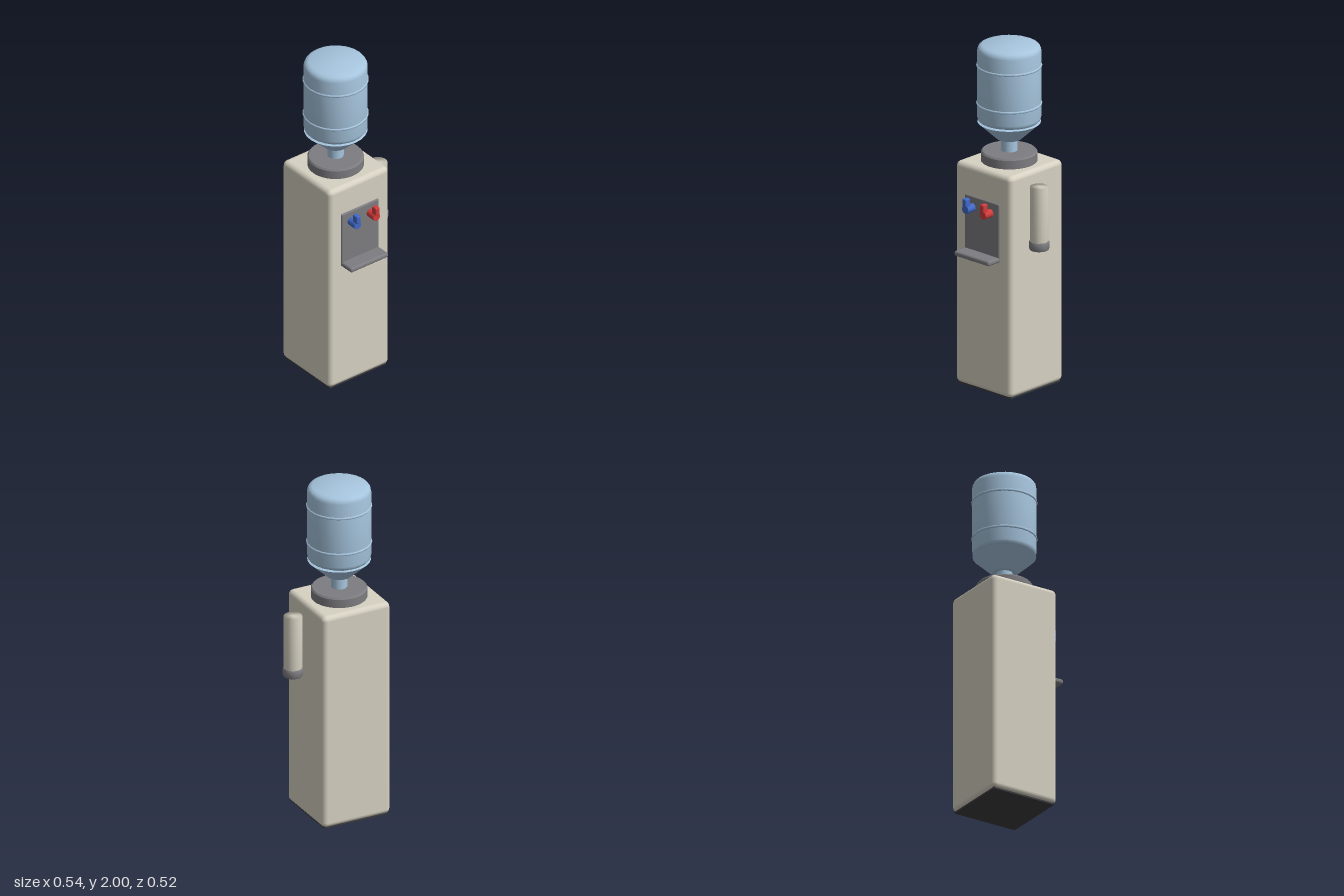
import * as THREE from 'three';
import { mergeVertices, toCreasedNormals } from 'three/addons/utils/BufferGeometryUtils.js';
import { RoundedBoxGeometry } from 'three/addons/geometries/RoundedBoxGeometry.js';

const mat = (name, color, side = THREE.FrontSide) => {
  const m = new THREE.MeshStandardMaterial({ color, side });
  m.name = name;
  return m;
};

export function createModel() {
  const model = new THREE.Group();
  model.name = 'waterCooler';

  const cream = mat('cream', 0xd6d1c2);
  const grey = mat('grey', 0x7d7c80);
  const dark = mat('darkGrey', 0x3c3c3e);
  const water = mat('bottleBlue', 0xa6c5de, THREE.DoubleSide);
  const blue = mat('coldBlue', 0x4169c8);
  const red = mat('hotRed', 0xd23c3c);

  const add = (name, geo, material, x, y, z, parent = model) => {
    const m = new THREE.Mesh(geo, material);
    m.name = name;
    m.position.set(x, y, z);
    parent.add(m);
    return m;
  };
  const rbox = (w, h, d, r) => new RoundedBoxGeometry(w, h, d, 3, r);
  const lathe = (pts, n) =>
    toCreasedNormals(new THREE.LatheGeometry(pts.map(p => new THREE.Vector2(...p)), n), 0.7);

  const CX = -0.057, CZ = -0.048;

  // Cabinet and its dark underside
  add('cabinet', rbox(0.428, 1.31, 0.428, 0.03), cream, CX, 0.66, CZ);
  add('base', new THREE.BoxGeometry(0.4, 0.02, 0.4), dark, CX, 0.01, CZ);

  // Collar that holds the bottle
  add('collar', lathe([[0, 1.3], [0.158, 1.3], [0.158, 1.365], [0.15, 1.374], [0, 1.374]], 32),
    grey, CX, 0, CZ);

  // Bottle: neck, shoulder cone, drum and raised ribs
  const bottle = new THREE.Group();
  bottle.name = 'bottle';
  bottle.position.set(CX, 0, CZ);
  model.add(bottle);
  add('neck', new THREE.CylinderGeometry(0.046, 0.046, 0.1, 20, 1, true), water, 0, 1.415, 0, bottle);
  add('shoulder', lathe([[0.04, 1.445], [0.07, 1.445], [0.178, 1.545], [0.165, 1.549]], 24),
    water, 0, 0, 0, bottle);
  add('drum', lathe([
    [0, 1.549], [0.155, 1.549], [0.168, 1.553], [0.176, 1.562], [0.179, 1.575],
    [0.179, 1.965], [0.176, 1.98], [0.167, 1.992], [0.15, 2], [0, 2],
  ], 24), water, 0, 0, 0, bottle);
  for (const y of [1.655, 1.878]) {
    const rib = add('rib', new THREE.TorusGeometry(0.177, 0.008, 8, 24), water, 0, y, 0, bottle);
    rib.rotation.x = Math.PI / 2;
  }

  // Front panel with drip tray
  add('frontPanel', rbox(0.266, 0.345, 0.03, 0.008), grey, CX, 0.968, 0.16);
  add('dripTray', rbox(0.266, 0.03, 0.105, 0.012), grey, CX, 0.809, 0.207);

  // Taps: round spout body with an upright lever
  for (const [name, x, m] of [['coldTap', -0.125, blue], ['hotTap', 0.01, red]]) {
    const tap = new THREE.Group();
    tap.name = name;
    tap.position.set(x, 0, 0);
    model.add(tap);
    const spout = add('spout', new THREE.CylinderGeometry(0.024, 0.024, 0.065, 16), m, 0, 1.076, 0.203, tap);
    spout.rotation.x = Math.PI / 2;
    add('lever', rbox(0.03, 0.05, 0.038, 0.008), m, 0, 1.117, 0.227, tap);
    add('leverStem', rbox(0.026, 0.04, 0.024, 0.006), m, 0, 1.085, 0.218, tap);
  }

  // Cup dispenser: softly shaded tube with a grey ring at its mouth
  const tube = new THREE.CylinderGeometry(0.052, 0.052, 0.365, 18);
  tube.deleteAttribute('normal');
  tube.deleteAttribute('uv');
  const softTube = mergeVertices(tube);
  softTube.computeVertexNormals();
  const cups = new THREE.Group();
  cups.name = 'cupDispenser';
  cups.position.set(0.212, 0, -0.007);
  model.add(cups);
  add('cupTube', softTube, cream, 0, 1.0525, 0, cups);
  add('cupRing', lathe([
    [0.05, 0.865], [0.053, 0.865], [0.057, 0.872], [0.057, 0.908], [0.053, 0.915], [0.05, 0.915],
  ], 18), grey, 0, 0, 0, cups);

  return model;
}
